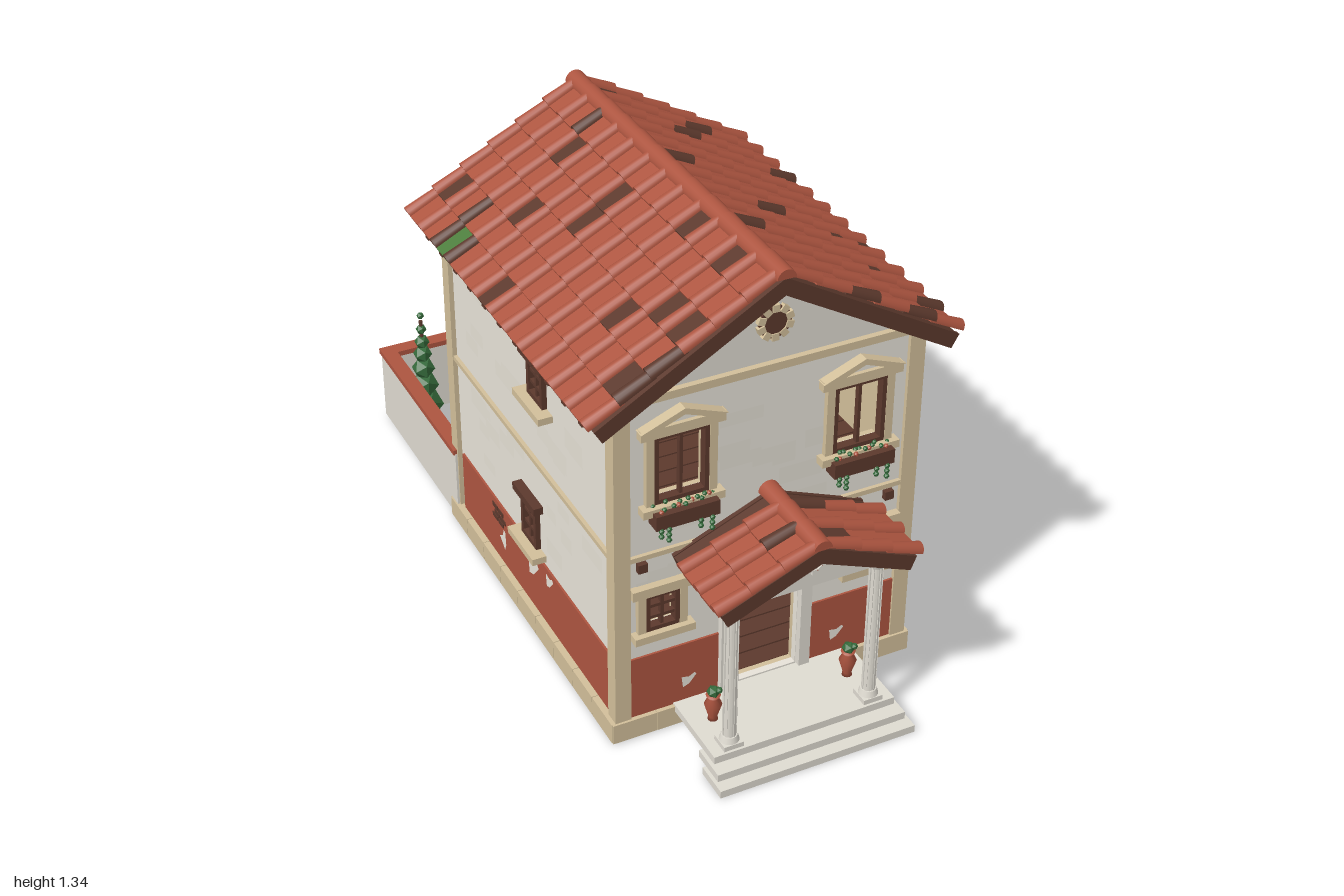
import * as THREE from 'three';
import { mergeGeometries } from 'three/addons/utils/BufferGeometryUtils.js';

const mat = (name, color) => Object.assign(new THREE.MeshStandardMaterial({ color }), { name });
const M = {
  plaster: mat('plaster', 0xefeae0), worn: mat('weathered plaster', 0xe5e0d5), stone: mat('pale stone', 0xdfdbd1),
  tan: mat('sandstone', 0xd2bf9a), tile: mat('terracotta', 0xad5540), brown: mat('dark wood', 0x5c392d),
  dark: mat('dark floor', 0x52332a), leaf: mat('leaf', 0x356a3b), water: mat('water', 0x5ea3b3), moss: mat('moss', 0x4d7d3d),
};
let seed = 7;
const rnd = () => (seed = (seed * 16807) % 2147483647) / 2147483647;

function add(parent, name, geo, material, x = 0, y = 0, z = 0) {
  const m = new THREE.Mesh(geo, material);
  m.name = name;
  m.position.set(x, y, z);
  parent.add(m);
  return m;
}
const box = (p, name, m, w, h, d, x, y, z) => add(p, name, new THREE.BoxGeometry(w, h, d), m, x, y, z);
const lathe = (p, name, m, pts, x, y, z, n = 16) =>
  add(p, name, new THREE.LatheGeometry(pts.map(a => new THREE.Vector2(...a)), n), m, x, y, z);
const poly = pts => new THREE.Shape(pts.map(a => new THREE.Vector2(...a)));
const extrude = (s, depth) => new THREE.ExtrudeGeometry(s, { depth, bevelEnabled: false });
const group = (p, name, x = 0, y = 0, z = 0, ry = 0) => {
  const g = new THREE.Group();
  g.name = name; g.position.set(x, y, z); g.rotation.y = ry;
  p.add(g);
  return g;
};
function leaves(p, name, m, spots) { // merged little faceted balls [x, y, z, r]
  add(p, name, mergeGeometries(spots.map(([x, y, z, r]) => new THREE.IcosahedronGeometry(r, 0).translate(x, y, z))), m);
}

// Wall facing local +z; holes are [u, v0, v1, width]
function wall(g, half, y0, y1, holes) {
  const layer = (h) => {
    const s = poly([[-h, y0], [h, y0], [h, y1], [-h, y1]]);
    for (const [u, a, b, w] of holes) s.holes.push(poly([[u - w / 2, a], [u - w / 2, b], [u + w / 2, b], [u + w / 2, a]]));
    return s;
  };
  add(g, 'plasterWall', extrude(layer(half), 0.02), M.plaster, 0, 0, -0.02);
  add(g, 'innerWall', extrude(layer(half - 0.03), 0.015), M.tan, 0, 0, -0.035);
  // weathered plaster patches
  const spots = [];
  for (let i = 0; i < 34; i++) {
    const w = 0.05 + rnd() * 0.08, h = 0.03 + rnd() * 0.03, u = (rnd() - 0.5) * (2 * half - 0.2), v = 0.3 + rnd() * 0.68;
    if (holes.every(([c, a, b, q]) => Math.abs(u - c) > (w + q) / 2 + 0.01 || v + h / 2 < a || v - h / 2 > b))
      spots.push(new THREE.PlaneGeometry(w, h).translate(u, v, 0.001 + i * 0.00003));
  }
  add(g, 'weatheredPatches', mergeGeometries(spots), M.worn);
  box(g, 'stringCourse', M.tan, half * 2, 0.014, 0.014, 0, 0.57, 0.004);
}

// Wooden frame with muntins
function sash(g, u, a, b, w, cols, rows) {
  const f = group(g, 'windowFrame', u, (a + b) / 2, 0.002), h = b - a, t = 0.014;
  for (const s of [-1, 1]) {
    box(f, 'stile', M.brown, t, h + t, 0.025, s * w / 2, 0, 0);
    box(f, 'rail', M.brown, w + t, t, 0.025, 0, s * h / 2, 0);
  }
  for (let i = 1; i < cols; i++) box(f, 'mullion', M.brown, 0.009, h, 0.015, -w / 2 + w * i / cols, 0, 0);
  for (let i = 1; i < rows; i++) box(f, 'muntin', M.brown, w, 0.009, 0.015, 0, -h / 2 + h * i / rows, 0);
}
// Stone surround
function surround(g, u, a, b, w) {
  for (const s of [-1, 1]) box(g, 'surroundSide', M.tan, 0.022, b - a + 0.02, 0.02, u + s * (w / 2 + 0.016), (a + b) / 2, 0.006);
  box(g, 'lintel', M.tan, w + 0.09, 0.028, 0.03, u, b + 0.02, 0.008);
  box(g, 'sill', M.tan, w + 0.085, 0.022, 0.04, u, a - 0.016, 0.012);
}
function flowerBox(g, u, v, w) {
  const f = group(g, 'flowerBox', u, v, 0.03);
  box(f, 'planter', M.brown, w, 0.042, 0.045, 0, 0, 0);
  const green = [], red = [], n = Math.round(w / 0.012);
  for (let i = 0; i < n; i++) {
    const x = (i / (n - 1) - 0.5) * w * 0.92;
    (i % 4 === 1 ? red : green).push([x, 0.024 + rnd() * 0.012, (rnd() - 0.5) * 0.03, 0.007]);
  }
  for (const [x, len] of [[-0.42, 2], [-0.3, 3], [0.2, 2], [0.38, 3]]) // trailing vines
    for (let k = 0; k < len; k++) green.push([x * w, -0.024 - k * 0.016, 0.022, 0.008]);
  leaves(f, 'foliage', M.leaf, green);
  leaves(f, 'flowers', M.tile, red);
}
// Flaked paint: irregular flat shard
const flake = (g, u, v, s) => add(g, 'flakedPaint', new THREE.ShapeGeometry(
  poly([[-s, s * 0.6], [-s * 0.8, -s], [0, -s * 0.7], [s, s * 0.5], [s * 0.7, s * 0.8], [0, s * 0.4]])), M.plaster, u, v, 0.0075);

// Gabled tile roof running along z
function tileRoof(p, name, zc, depth, ridgeY, run, rise, courses, coverZ, mossy) {
  const g = group(p, name, 0, ridgeY, zc), L = Math.hypot(run, rise), a = Math.atan2(rise, run), c = L / courses;
  for (const s of [1, -1]) {
    const slope = group(g, s > 0 ? 'leftSlope' : 'rightSlope');
    slope.rotation.z = -s * a;
    box(slope, 'deck', M.brown, L, 0.03, depth - 0.02, s * L / 2, -0.015, 0);
    for (const e of [-1, 1]) box(slope, 'rakeBoard', M.brown, L, 0.042, 0.012, s * L / 2, -0.018, e * (depth / 2 - 0.006));
    const bags = { tile: [], brown: [], moss: [] };
    const put = (geo, key, x, y, z, tilt) => {
      geo.rotateZ(tilt).translate(x, y, s * z);
      bags[key].push(s < 0 ? geo.rotateY(Math.PI) : geo);
    };
    for (let k = 0; k < courses; k++) coverZ.forEach((z, j) => {
      const x = (k + 0.5) * c + 0.004, shade = () => (rnd() < 0.06 ? 'brown' : 'tile');
      put(new THREE.CylinderGeometry(0.018, 0.022, c + 0.012, 8, 1, false, 0, Math.PI).rotateZ(Math.PI / 2), shade(), x, 0.01, z, 0.06);
      if (j) put(new THREE.BoxGeometry(c + 0.012, 0.012, 0.07), mossy && s < 0 && k === courses - 1 && j === 3 ? 'moss' : shade(),
        x, 0.007, (z + coverZ[j - 1]) / 2, 0.08);
    });
    for (const key in bags) if (bags[key].length) add(slope, key + 'Tiles', mergeGeometries(bags[key]), M[key]);
  }
  const n = Math.round(depth / 0.1), d = depth / n;
  for (let i = 0; i < n; i++) // half-round ridge tiles
    add(g, 'ridgeTile', new THREE.CylinderGeometry(0.026, 0.029, d + 0.005, 10, 1, false, Math.PI / 2, Math.PI).rotateX(Math.PI / 2),
      M.tile, 0, 0.001, -depth / 2 + d * (i + 0.5));
}
function rosette(p, r, y, z, ring, hub, back) {
  const g = group(p, 'rosette', 0, y, z);
  add(g, 'backDisc', new THREE.CylinderGeometry(r * 0.9, r * 0.9, 0.01, 20).rotateX(Math.PI / 2), back);
  add(g, 'hub', new THREE.CylinderGeometry(r * 0.62, r * 0.62, 0.014, 20).rotateX(Math.PI / 2), hub);
  for (let i = 0; i < 10; i++) {
    const t = i * Math.PI / 5;
    box(g, 'ringBlock', ring, r * 0.38, r * 0.4, 0.02, Math.sin(t) * r * 0.8, Math.cos(t) * r * 0.8, 0).rotation.z = -t;
  }
}

export function createModel() {
  const model = new THREE.Group();
  model.name = 'villa';
  const ZC = 0.14;

  // Foundation blocks and floors
  box(model, 'foundation', M.dark, 0.85, 0.058, 1.09, 0, 0.0285, ZC);
  for (const s of [-1, 1]) {
    for (let i = 0; i < 9; i++) box(model, 'sideFoundationBlock', M.tan, 0.04, 0.06, 0.122, s * 0.425, 0.03, -0.356 + i * 0.124);
    for (let i = 0; i < 7; i++) box(model, 'endFoundationBlock', M.tan, 0.125, 0.06, 0.04, -0.381 + i * 0.127, 0.03, ZC + s * 0.543);
    for (const e of [-1, 1]) box(model, 'cornerPilaster', M.tan, 0.045, 0.965, 0.045, s * 0.411, 0.542, ZC + e * 0.534);
  }
  box(model, 'upperFloor', M.tan, 0.78, 0.016, 1.02, 0, 0.577, ZC);
  for (const y of [0.06, 0.588]) for (let i = 0; i < 17; i++)
    box(model, 'floorPlank', M.brown, 0.77, 0.008, 0.055, 0, y, ZC - 0.48 + i * 0.06);

  // Front wall
  const front = group(model, 'frontWall', 0, 0, ZC + 0.545);
  wall(front, 0.42, 0.05, 1.03, [[0, 0.065, 0.47, 0.2], [-0.25, 0.73, 0.92, 0.14], [0.25, 0.73, 0.92, 0.14], [-0.3, 0.34, 0.445, 0.085], [0.3, 0.34, 0.445, 0.085]]);
  for (const s of [-1, 1]) {
    sash(front, s * 0.25, 0.73, 0.92, 0.14, 2, 1);
    surround(front, s * 0.25, 0.73, 0.92, 0.14);
    const ped = group(front, 'windowPediment', s * 0.25, 0.952, 0);
    add(ped, 'pedimentPanel', extrude(poly([[-0.1, 0], [0.1, 0], [0, 0.036]]), 0.012), M.plaster);
    add(ped, 'pedimentRake', extrude(poly([[-0.118, 0], [-0.075, 0], [0, 0.029], [0.075, 0], [0.118, 0], [0, 0.046]]), 0.03), M.tan);
    flowerBox(front, s * 0.25, 0.695, 0.175);
    sash(front, s * 0.3, 0.34, 0.445, 0.085, 2, 3);
    surround(front, s * 0.3, 0.34, 0.445, 0.085);
    box(front, 'beamEnd', M.brown, 0.026, 0.026, 0.02, s * 0.355, 0.54, 0.005);
    box(front, 'redDado', M.tile, 0.255, 0.19, 0.006, s * 0.262, 0.155, 0.003);
    flake(front, s * 0.22, 0.13, 0.022);
    box(front, 'doorJamb', M.stone, 0.032, 0.41, 0.03, s * 0.117, 0.267, 0.005);
  }
  box(front, 'doorLintel', M.stone, 0.3, 0.05, 0.035, 0, 0.495, 0.006);

  // Back wall
  const back = group(model, 'backWall', 0, 0, ZC - 0.545, Math.PI);
  const backHoles = [[0.125, 0.785, 0.89, 0.085], [-0.094, 0.285, 0.39, 0.085]];
  wall(back, 0.42, 0.05, 1.03, backHoles);

  // Side walls
  const left = group(model, 'leftWall', 0.42, 0, ZC, Math.PI / 2);
  const leftHoles = [[0.11, 0.755, 0.905, 0.115], [-0.14, 0.26, 0.41, 0.125]];
  wall(left, 0.525, 0.05, 1.03, leftHoles);
  for (const [u, a, b, w] of leftHoles) { sash(left, u, a, b, w, 2, 1); surround(left, u, a, b, w); }
  flowerBox(left, 0.11, 0.715, 0.15);
  const right = group(model, 'rightWall', -0.42, 0, ZC, -Math.PI / 2);
  const rightHoles = [[0.08, 0.785, 0.89, 0.085], [0.01, 0.29, 0.41, 0.085]];
  wall(right, 0.525, 0.05, 1.03, rightHoles);
  for (const [g, holes] of [[back, backHoles], [right, rightHoles]]) for (const [u, a, b, w] of holes) {
    sash(g, u, a, b, w, 2, 3);
    box(g, 'woodLintel', M.brown, w + 0.06, 0.022, 0.035, u, b + 0.015, 0.01);
    box(g, 'sill', M.tan, w + 0.085, 0.02, 0.05, u, a - 0.018, 0.016);
  }
  for (const g of [left, right]) {
    box(g, 'redDado', M.tile, 0.99, 0.19, 0.006, 0, 0.155, 0.003);
    flake(g, 0.02, 0.195, 0.036);
    flake(g, -0.19, 0.15, 0.028).rotation.z = 0.8;
    flake(g, 0.13, 0.22, 0.025);
    for (let i = 0; i < 11; i++) box(g, 'rafterTail', M.brown, 0.022, 0.03, 0.03, -0.5 + i * 0.1, 0.99, 0.058);
  }
  for (let i = 0; i < 6; i++) // exposed brick on the right side
    box(right, 'exposedBrick', M.brown, 0.035, 0.013, 0.005, -0.25 + (i % 2) * 0.04 + (i >> 1 & 1) * 0.015, 0.19 + (i >> 1) * 0.018, 0.006);

  // Gables
  for (const [g, name] of [[front, 'frontGable'], [back, 'backGable']]) {
    add(g, name, extrude(poly([[-0.425, 0], [0.425, 0], [0, 0.25]]), 0.03), M.stone, 0, 1.022, -0.03);
    box(g, 'cornice', M.tan, 0.84, 0.022, 0.025, 0, 1.037, 0.004);
  }
  rosette(front, 0.05, 1.16, 0.004, M.tan, M.brown, M.brown);

  // Main roof
  tileRoof(model, 'mainRoof', ZC, 1.2, 1.304, 0.5, 0.29, 6, Array.from({ length: 13 }, (_, i) => -0.575 + i * 0.0958), true);

  // Porch
  const porch = group(model, 'porch');
  tileRoof(porch, 'porchRoof', 0.828, 0.275, 0.663, 0.272, 0.112, 3, [-0.058, 0.032, 0.122], false);
  add(porch, 'porchGable', extrude(poly([[-0.24, 0], [0.24, 0], [0, 0.098]]), 0.03), M.stone, 0, 0.533, 0.89);
  box(porch, 'porchBeam', M.stone, 0.47, 0.025, 0.05, 0, 0.533, 0.895);
  rosette(porch, 0.036, 0.6, 0.922, M.stone, M.plaster, M.tile);
  [[0.57, 0.9, 1, 0.02], [0.55, 0.86, 0.965, 0.042], [0.53, 0.69, 0.925, 0.065]].forEach(([w, z0, z1, top]) =>
    box(porch, 'step', M.stone, w, 0.022, z1 - z0, 0, top - 0.011, (z0 + z1) / 2));
  for (const s of [-1, 1]) {
    const col = group(porch, 'column', s * 0.205, 0, 0.89);
    box(col, 'plinth', M.stone, 0.056, 0.015, 0.056, 0, 0.072, 0);
    add(col, 'base', new THREE.CylinderGeometry(0.022, 0.027, 0.018, 16), M.stone, 0, 0.088, 0);
    add(col, 'shaft', new THREE.CylinderGeometry(0.016, 0.018, 0.41, 16), M.stone, 0, 0.3, 0);
    for (let i = 0; i < 10; i++) { // raised flutes
      const t = (i + 0.5) * Math.PI / 5;
      box(col, 'flute', M.stone, 0.005, 0.41, 0.005, Math.sin(t) * 0.0165, 0.3, Math.cos(t) * 0.0165).rotation.y = t;
    }
    add(col, 'capital', new THREE.CylinderGeometry(0.028, 0.02, 0.016, 16), M.stone, 0, 0.505, 0);
    box(col, 'abacus', M.stone, 0.058, 0.012, 0.058, 0, 0.517, 0);
    box(porch, 'sideBeam', M.brown, 0.025, 0.025, 0.2, s * 0.205, 0.533, 0.79);
    lathe(porch, 'urn', M.tile, [[0, 0], [0.014, 0], [0.012, 0.01], [0.024, 0.05], [0.014, 0.07], [0.02, 0.08], [0, 0.08]], s * 0.2, 0.065, 0.79, 12);
    leaves(porch, 'urnPlant', M.leaf, [[s * 0.2, 0.155, 0.79, 0.018], [s * 0.2 + 0.012, 0.163, 0.8, 0.01]]);
  }

  // Table and bowl inside
  const table = group(model, 'table', 0.06, 0, 0.3);
  box(table, 'tableTop', M.brown, 0.18, 0.012, 0.12, 0, 0.185, 0);
  for (const s of [-1, 1]) box(table, 'tableLeg', M.brown, 0.012, 0.12, 0.09, s * 0.075, 0.12, 0);
  lathe(table, 'bowl', M.brown, [[0, 0], [0.012, 0], [0.028, 0.02], [0, 0.014]], -0.04, 0.191, 0);

  // Courtyard walls
  const yard = group(model, 'courtyard');
  for (const s of [-1, 1]) {
    box(yard, 'sideYardWall', M.stone, 0.032, 0.225, 0.615, s * 0.424, 0.1225, -0.685);
    box(yard, 'sideCoping', M.tile, 0.045, 0.016, 0.62, s * 0.422, 0.241, -0.69);
    // Topiary and border plants
    const tx = s * 0.34, tz = -0.895;
    add(yard, 'topiaryTrunk', new THREE.CylinderGeometry(0.006, 0.008, 0.36, 6), M.brown, tx, 0.2, tz);
    leaves(yard, 'topiary', M.leaf, [[tx, 0.08, tz, 0.058], [tx, 0.15, tz, 0.046], [tx, 0.21, tz, 0.037],
      [tx, 0.262, tz, 0.03], [tx, 0.305, tz, 0.024], [tx, 0.35, tz, 0.017], [tx, 0.398, tz, 0.012]]);
    leaves(yard, 'borderPlants', M.leaf, Array.from({ length: 10 }, (_, i) =>
      [s * 0.333 + (i % 2 - 0.5) * 0.014, 0.035 + (i % 2) * 0.02, -0.715 + (i >> 1) * 0.053 + (i % 2) * 0.012, 0.024 - (i % 2) * 0.004]));
    leaves(yard, 'borderFlowers', M.tile, [[s * 0.325, 0.07, -0.68, 0.009], [s * 0.34, 0.07, -0.6, 0.009]]);
  }
  box(yard, 'backYardWall', M.stone, 0.88, 0.225, 0.032, 0, 0.1225, -0.976);
  box(yard, 'backCoping', M.tile, 0.889, 0.016, 0.045, 0, 0.2411, -0.9775);

  // Fountain, stones, statue and bench
  add(yard, 'fountainBasin', new THREE.CylinderGeometry(0.112, 0.108, 0.042, 28), M.stone, 0, 0.036, -0.69);
  const rim = new THREE.Shape().absarc(0, 0, 0.117, 0, Math.PI * 2);
  rim.holes.push(new THREE.Path().absarc(0, 0, 0.102, 0, Math.PI * 2, true));
  add(yard, 'fountainRim', extrude(rim, 0.014).rotateX(-Math.PI / 2), M.tan, 0, 0.056, -0.69);
  add(yard, 'fountainWater', new THREE.CylinderGeometry(0.104, 0.104, 0.006, 28), M.water, 0, 0.06, -0.69);
  lathe(yard, 'fountainBowl', M.stone, [[0.025, 0], [0.012, 0.02], [0.012, 0.09], [0.044, 0.125], [0.04, 0.13], [0, 0.115]], 0, 0.055, -0.69);
  for (const z of [-0.87, -0.805, -0.575, -0.51]) box(yard, 'pavingStone', M.tan, 0.115, 0.012, 0.058, 0, 0.02, z);
  box(yard, 'statuePlinth', M.stone, 0.068, 0.095, 0.068, -0.215, 0.0625, -0.86);
  lathe(yard, 'statue', M.stone, [[0.026, 0], [0.02, 0.07], [0.024, 0.13], [0.022, 0.165], [0.008, 0.178], [0.015, 0.195], [0.013, 0.21], [0, 0.22]], -0.215, 0.11, -0.86, 12);
  box(yard, 'benchSeat', M.brown, 0.19, 0.016, 0.052, 0.213, 0.085, -0.87);
  for (const x of [0.14, 0.286]) box(yard, 'benchLeg', M.brown, 0.02, 0.065, 0.045, x, 0.0475, -0.87);

  return model;
}
